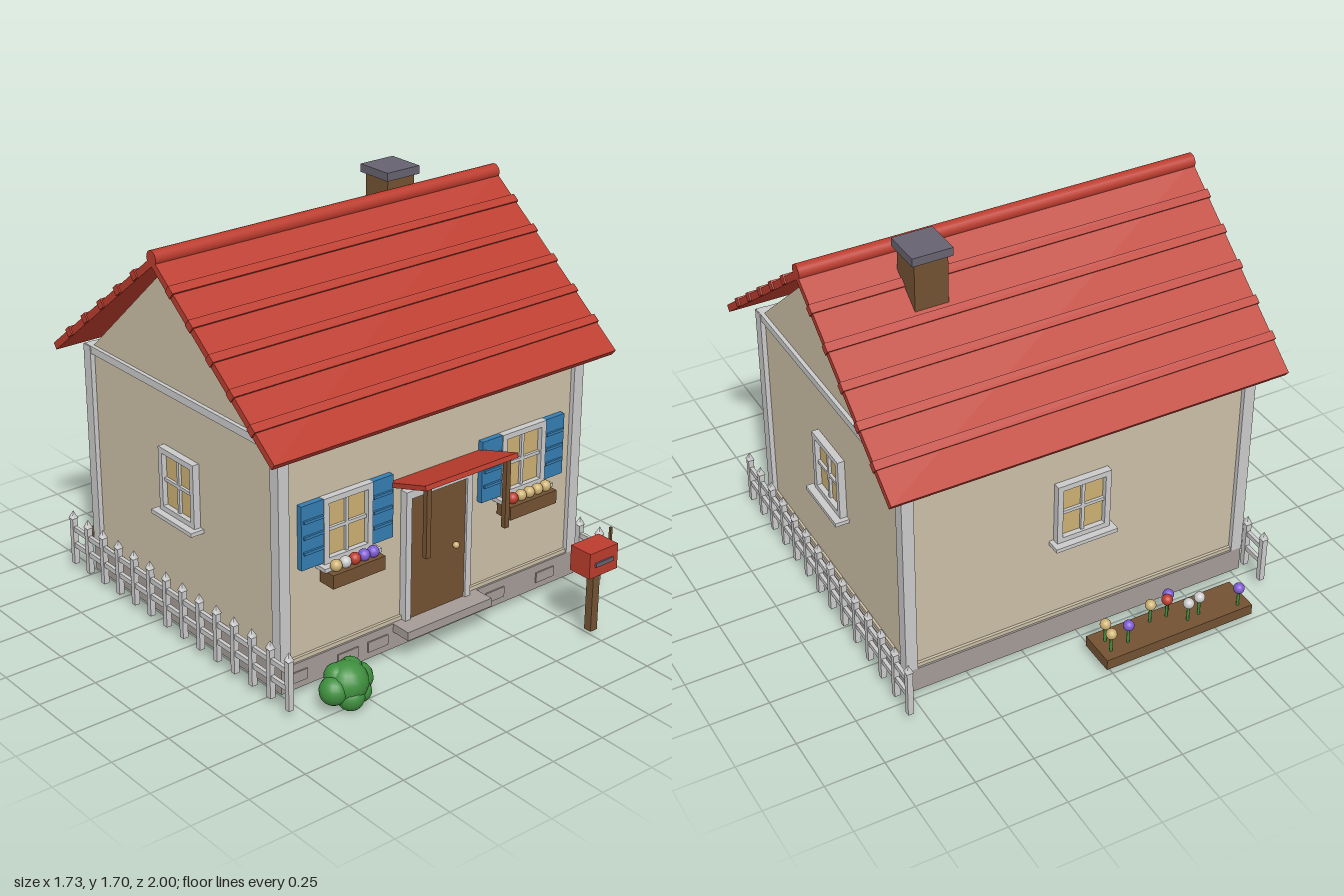
import * as THREE from 'three';

const mat = (name, color) => {
  const m = new THREE.MeshStandardMaterial({ color });
  m.name = name;
  return m;
};

export function createModel() {
  const red = mat('roof red', 0xbc3c2e), cream = mat('wall cream', 0xcbbfa6);
  const white = mat('trim white', 0xcacaca), stone = mat('foundation stone', 0xa49b96);
  const brown = mat('wood brown', 0x735233), blue = mat('shutter blue', 0x357db2);
  const tan = mat('glass amber', 0xccb073), green = mat('leaf green', 0x3f8f3f);
  const slate = mat('slate grey', 0x676270), purple = mat('petal purple', 0x7d5bd0);

  const root = new THREE.Group();
  const CZ = -0.09; // house centre in z
  const HX = 0.755, HZ = 0.63; // wall half sizes

  const group = (name, x = 0, y = 0, z = 0, parent = root) => {
    const g = new THREE.Group();
    g.name = name;
    g.position.set(x, y, z);
    parent.add(g);
    return g;
  };
  const add = (parent, name, geo, m, x, y, z) => {
    const mesh = new THREE.Mesh(geo, m);
    mesh.name = name;
    mesh.position.set(x, y, z);
    parent.add(mesh);
    return mesh;
  };
  // box given by its lower and upper limits
  const box = (parent, name, m, x0, x1, y0, y1, z0, z1) =>
    add(parent, name, new THREE.BoxGeometry(x1 - x0, y1 - y0, z1 - z0), m,
      (x0 + x1) / 2, (y0 + y1) / 2, (z0 + z1) / 2);
  const ball = (parent, name, m, r, x, y, z) =>
    add(parent, name, new THREE.SphereGeometry(r, 16, 12), m, x, y, z);

  // House body, centred on its own z
  const house = group('house', 0, 0, CZ);
  box(house, 'foundation', stone, -0.772, 0.772, 0.03, 0.14, -0.65, 0.65);
  box(house, 'walls', cream, -HX, HX, 0.14, 1.06, -HZ, HZ);
  box(house, 'baseboard', cream, -0.765, 0.765, 0.14, 0.157, -0.642, 0.642);
  for (const x of [-0.7, -0.45, -0.3, 0.32, 0.6])
    box(house, 'foundationBlock', stone, x - 0.05, x + 0.05, 0.06, 0.105, 0.648, 0.656);
  const tri = new THREE.Shape([[-0.61, 1.055], [0.61, 1.055], [0, 1.6]]
    .map(([x, y]) => new THREE.Vector2(x, y)));
  const gable = add(house, 'gables',
    new THREE.ExtrudeGeometry(tri, { depth: 2 * HX, bevelEnabled: false }), cream, -HX, 0, 0);
  gable.rotation.y = Math.PI / 2;

  // Corner posts and top beams
  for (const s of [-1, 1]) {
    for (const t of [-1, 1])
      box(house, 'cornerPost', white, s * 0.75 - 0.025, s * 0.75 + 0.025, 0.14, 1.06,
        t * 0.625 - 0.025, t * 0.625 + 0.025);
    box(house, 'sideBeam', white, s * 0.757 - 0.015, s * 0.757 + 0.015, 1.03, 1.062, -0.645, 0.645);
    box(house, 'eaveBeam', white, -0.77, 0.77, 1.03, 1.06, s * 0.632 - 0.015, s * 0.632 + 0.015);
  }

  // Roof: one slope with raised tile rows, turned for the other side
  const slope = Math.atan2(0.57, 0.735);
  for (const turn of [0, Math.PI]) {
    const side = group('roofSide', 0, 0, 0, house);
    side.rotation.y = turn;
    const plane = group('roofSlope', 0, 1.61, 0, side);
    plane.rotation.x = slope;
    box(plane, 'roofSlab', red, -0.858, 0.858, -0.015, 0.015, 0, 0.928);
    for (let i = 0; i < 5; i++) {
      const d = 0.145 + i * 0.156;
      box(plane, 'tileRow', red, -0.864, 0.864, -0.012, 0.023, d - 0.018, d + 0.018);
    }
  }
  const ridge = add(house, 'ridge', new THREE.CylinderGeometry(0.031, 0.031, 1.716, 16), red, 0, 1.624, 0);
  ridge.rotation.z = Math.PI / 2;

  // Chimney
  const chimney = group('chimney', 0.416, 0, -0.24);
  box(chimney, 'chimneyStack', brown, -0.07, 0.07, 1.36, 1.67, -0.07, 0.07);
  box(chimney, 'chimneyCap', slate, -0.085, 0.085, 1.665, 1.7, -0.085, 0.085);

  // Windows face +z in their own group; z = 0 is the wall surface
  const makeWindow = (name, x, z, turn) => {
    const g = group(name, x, 0.66, z);
    g.rotation.y = turn;
    box(g, 'glass', tan, -0.1, 0.1, -0.125, 0.125, 0, 0.008);
    for (const s of [-1, 1]) {
      box(g, 'frameSide', white, s * 0.106 - 0.012, s * 0.106 + 0.012, -0.138, 0.138, 0, 0.03);
      box(g, 'frameBar', white, -0.118, 0.118, s * 0.126 - 0.012, s * 0.126 + 0.012, 0, 0.03);
    }
    box(g, 'mullionUpright', white, -0.007, 0.007, -0.12, 0.12, 0, 0.02);
    box(g, 'mullionCross', white, -0.1, 0.1, -0.007, 0.007, 0, 0.02);
    box(g, 'sill', white, -0.138, 0.138, -0.153, -0.136, 0, 0.06);
    return g;
  };
  makeWindow('leftWindow', HX, CZ, Math.PI / 2);
  makeWindow('rightWindow', -HX, CZ, -Math.PI / 2);
  makeWindow('backWindow', 0, CZ - HZ, Math.PI);

  // Front windows with shutters and flower boxes
  const boxFlowers = [[tan, white, red, purple, purple], [red, tan, tan, tan, tan]];
  [-0.452, 0.45].forEach((x, k) => {
    const g = makeWindow('frontWindow', x, CZ + HZ, 0);
    for (const s of [-1, 1]) {
      const c = s * 0.167;
      box(g, 'shutter', blue, c - 0.055, c + 0.055, -0.13, 0.137, 0, 0.025);
      for (const y of [-0.06, 0.005, 0.07])
        box(g, 'shutterSlat', blue, c - 0.046, c + 0.046, y - 0.006, y + 0.006, 0.02, 0.034);
    }
    box(g, 'flowerBox', brown, -0.127, 0.127, -0.21, -0.152, 0.015, 0.095);
    boxFlowers[k].forEach((m, i) => {
      const fx = -0.09 + i * 0.045;
      box(g, 'boxStem', green, fx - 0.005, fx + 0.005, -0.155, -0.13, 0.06, 0.07);
      ball(g, 'boxFlower', m, 0.024, fx, -0.132, 0.065);
    });
  });

  // Door, frame, knob and step
  const door = group('door', 0, 0, CZ + HZ);
  box(door, 'doorLeaf', brown, -0.143, 0.143, 0.137, 0.672, 0, 0.025);
  for (const s of [-1, 1])
    box(door, 'doorJamb', white, s * 0.157 - 0.014, s * 0.157 + 0.014, 0.137, 0.7, 0, 0.035);
  box(door, 'doorLintel', white, -0.171, 0.171, 0.67, 0.703, 0, 0.035);
  ball(door, 'doorKnob', tan, 0.014, 0.087, 0.395, 0.037);
  box(door, 'doorStep', stone, -0.22, 0.22, 0.103, 0.14, 0, 0.11);

  // Door canopy, rising outwards, on two short posts
  const canopy = add(root, 'canopy', new THREE.BoxGeometry(0.47, 0.02, 0.225), red, 0, 0.778, 0.65);
  canopy.rotation.x = -0.3;
  for (const s of [-1, 1])
    box(root, 'canopyPost', brown, s * 0.203 - 0.011, s * 0.203 + 0.011, 0.5, 0.795, 0.72, 0.742);

  // Picket fences on both sides
  for (const s of [-1, 1]) {
    const fence = group('fence', s * 0.812, 0, 0);
    for (let i = 0; i < 14; i++) {
      const z = 0.662 - i * 0.1153;
      box(fence, 'picket', white, -0.012, 0.012, 0.03, 0.243, z - 0.012, z + 0.012);
      const tip = add(fence, 'picketTip', new THREE.ConeGeometry(0.021, 0.035, 4), white, 0, 0.26, z);
      tip.rotation.y = Math.PI / 4;
    }
    for (const y of [0.12, 0.195])
      box(fence, 'fenceRail', white, -0.008, 0.008, y - 0.011, y + 0.011, -0.837, 0.662);
  }

  // Mailbox
  const mail = group('mailbox', 0.496, 0, 0.94);
  box(mail, 'mailboxPost', brown, -0.018, 0.018, 0.03, 0.31, -0.018, 0.018);
  box(mail, 'mailboxBody', red, -0.077, 0.077, 0.302, 0.412, -0.055, 0.052);
  box(mail, 'mailSlot', slate, -0.048, 0.048, 0.347, 0.365, 0.05, 0.059);
  box(mail, 'mailFlag', brown, 0.08, 0.09, 0.35, 0.46, -0.005, 0.005);

  // Bush
  const bush = group('bush', -0.59, 0, 0.73);
  for (const [x, y, z, r] of [[0, 0.1, 0, 0.085], [-0.068, 0.09, 0.005, 0.058], [0.065, 0.09, -0.015, 0.06],
    [-0.01, 0.055, 0.035, 0.055], [0.04, 0.06, 0.03, 0.045], [-0.035, 0.13, -0.02, 0.05], [0.035, 0.13, -0.025, 0.05]])
    ball(bush, 'bushLeaves', green, r, x, y, z);

  // Back planter with tall flowers
  const planter = group('planter');
  box(planter, 'planterBox', brown, -0.656, 0.028, 0.03, 0.078, -1, -0.838);
  for (const [x, z, m] of [[-0.605, -0.97, purple], [-0.436, -0.94, white], [-0.378, -0.95, white],
    [-0.315, -0.89, red], [-0.336, -0.865, purple], [-0.24, -0.885, tan],
    [-0.1, -0.945, purple], [-0.015, -0.955, tan], [-0.024, -0.895, tan]]) {
    add(planter, 'flowerStem', new THREE.CylinderGeometry(0.006, 0.006, 0.09, 8), green, x, 0.12, z);
    ball(planter, 'flowerHead', m, 0.023, x, 0.165, z);
  }
  return root;
}
